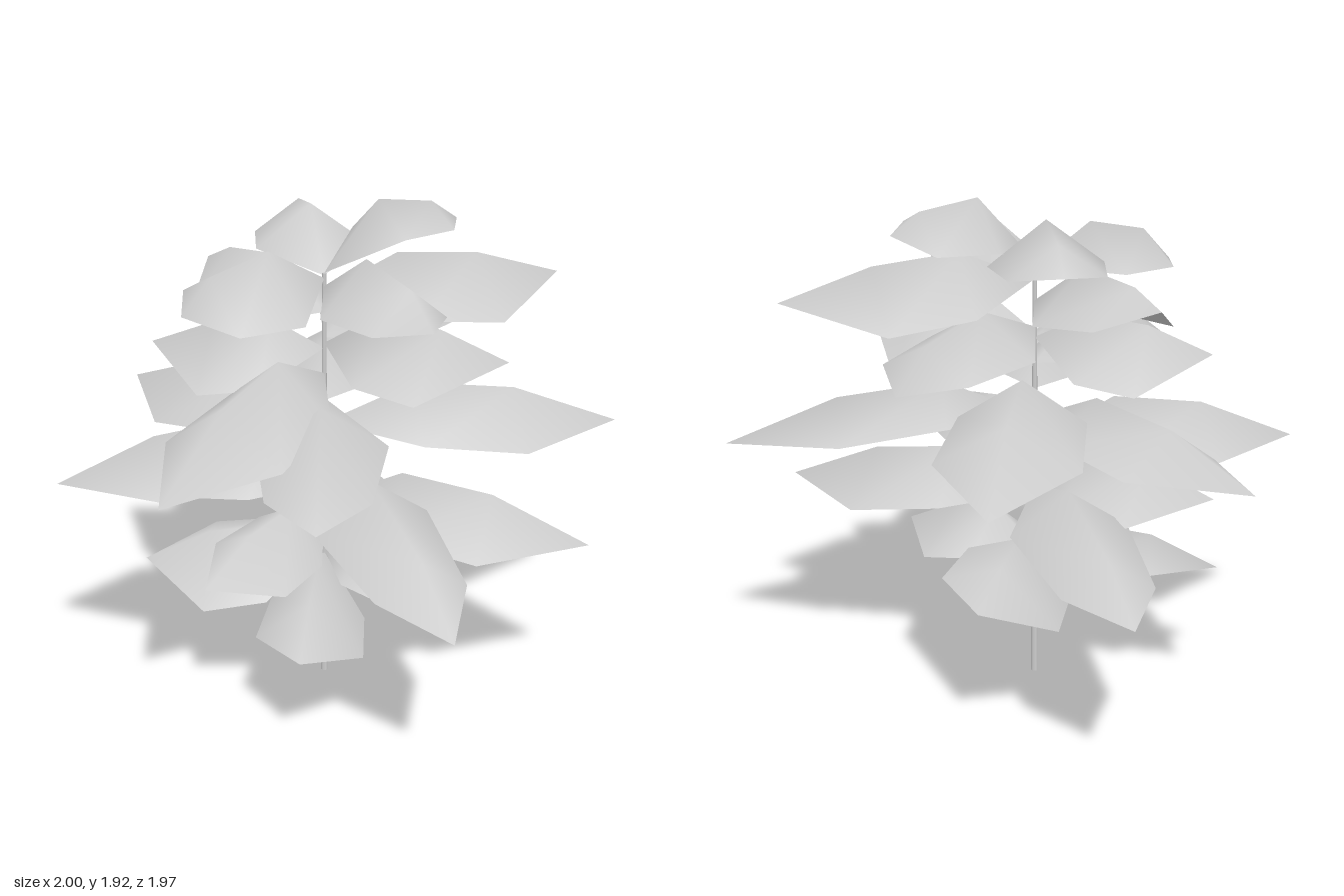
import * as THREE from 'three';

const STEM_X = -0.015, STEM_Z = -0.02;

// Folded leaf: a base point, two ribs of left edge / ridge / right edge, and a tip.
// spec: tip x, y, z, base height, ridge height, edge drop, half width, roll
function leafGeometry([tx, ty, tz, baseY, ridgeY, drop, half, roll = 0], ribs) {
  const dx = tx - STEM_X, dz = tz - STEM_Z, len = Math.hypot(dx, dz);
  const px = dz / len, pz = -dx / len;
  const points = [STEM_X, baseY, STEM_Z];
  ribs.forEach(({ t, width, fall, edge }) => {
    const y = THREE.MathUtils.lerp(ridgeY, ty, fall);
    for (const s of [-1, 0, 1]) {
      points.push(
        STEM_X + dx * t + px * half * width * s,
        y - (s ? drop * edge : 0) + roll * s,
        STEM_Z + dz * t + pz * half * width * s
      );
    }
  });
  points.push(tx, ty, tz);
  const geometry = new THREE.BufferGeometry();
  geometry.setAttribute('position', new THREE.Float32BufferAttribute(points, 3));
  geometry.setIndex([
    0, 1, 2, 0, 2, 3,
    1, 4, 5, 1, 5, 2, 2, 5, 6, 2, 6, 3,
    4, 7, 5, 5, 7, 6
  ].reverse()); // reversed so the upper side is the front
  geometry.computeVertexNormals();
  return geometry;
}

// Short, blunt young leaves
const youngRibs = [
  { t: 0.4, width: 1, fall: 0, edge: 1 },
  { t: 0.8, width: 0.82, fall: 0.3, edge: 0.75 }
];
const youngLeaves = [
  [0.33, 1.81, -0.45, 1.67, 1.92, 0.13, 0.21, -0.03],
  [-0.36, 1.74, -0.46, 1.66, 1.87, 0.16, 0.21],
  [-0.33, 1.61, 0.48, 1.65, 1.79, 0.18, 0.25, -0.03],
  [0.52, 1.60, 0.24, 1.62, 1.78, 0.18, 0.21],
  [-0.61, 1.60, -0.22, 1.52, 1.69, 0.2, 0.25, -0.03],
  [0.14, 1.33, -0.74, 1.42, 1.54, 0.14, 0.25]
];

// Long, pointed mature leaves
const matureRibs = [
  { t: 0.3, width: 0.9, fall: 0, edge: 1 },
  { t: 0.64, width: 1, fall: 0.22, edge: 1 }
];
const matureLeaves = [
  [0.66, 1.58, -0.68, 1.60, 1.72, 0.19, 0.27],
  [0.70, 1.43, -0.04, 1.40, 1.54, 0.23, 0.27, -0.03],
  [-0.66, 1.36, 0.14, 1.38, 1.48, 0.20, 0.25],
  [-0.15, 1.12, 0.98, 1.28, 1.42, 0.18, 0.25],
  [-0.36, 1.06, -0.99, 1.17, 1.31, 0.15, 0.26],
  [0.93, 1.01, -0.68, 1.08, 1.22, 0.15, 0.23, 0.03],
  [-1.00, 1.02, -0.28, 1.07, 1.21, 0.15, 0.26, -0.03],
  [-0.81, 0.93, 0.61, 0.97, 1.13, 0.16, 0.25],
  [-0.74, 0.86, 0.00, 0.82, 0.98, 0.17, 0.25],
  [1.00, 0.71, -0.17, 0.76, 0.91, 0.17, 0.26]
];

// Broad leaves whose ends curl downwards
const curledRibs = [
  { t: 0.38, width: 1, fall: 0, edge: 1 },
  { t: 0.77, width: 0.76, fall: 0.4, edge: 0.75 }
];
const curledLeaves = [
  [0.39, 1.10, 0.90, 1.18, 1.29, 0.14, 0.24],
  [0.82, 0.72, 0.74, 0.87, 1.02, 0.16, 0.23],
  [-0.82, 0.72, -0.85, 0.79, 0.93, 0.15, 0.22]
];

// Small leaves at the foot of the foliage, each tilted its own way
const lowerLeaves = [
  [-0.20, 0.62, 0.60, 0.69, 0.79, 0.14, 0.18, -0.05],
  [0.56, 0.54, 0.00, 0.54, 0.67, 0.15, 0.22],
  [-0.67, 0.48, 0.24, 0.56, 0.64, 0.15, 0.23, -0.08],
  [0.22, 0.46, 0.68, 0.53, 0.58, 0.18, 0.20, -0.03],
  [-0.18, 0.59, -0.75, 0.56, 0.66, 0.14, 0.22, -0.08]
];

export function createModel() {
  const plant = new THREE.Group();
  plant.name = 'leafyPlant';
  const grey = new THREE.MeshStandardMaterial({ color: 0xcccccc, side: THREE.DoubleSide });
  grey.name = 'pale grey';

  // Thin tapering stem
  const stem = new THREE.Mesh(new THREE.CylinderGeometry(0.008, 0.015, 1.67, 8), grey);
  stem.name = 'stem';
  stem.position.set(STEM_X, 0.835, STEM_Z);
  plant.add(stem);

  // Leaves spiralling around the stem
  const addLeaves = (name, specs, ribs) => {
    const group = new THREE.Group();
    group.name = name;
    for (const spec of specs) {
      const leaf = new THREE.Mesh(leafGeometry(spec, ribs), grey);
      leaf.name = 'leaf';
      group.add(leaf);
    }
    plant.add(group);
  };
  addLeaves('youngLeaves', youngLeaves, youngRibs);
  addLeaves('matureLeaves', matureLeaves, matureRibs);
  addLeaves('curledLeaves', curledLeaves, curledRibs);
  addLeaves('lowerLeaves', lowerLeaves, matureRibs);
  return plant;
}
